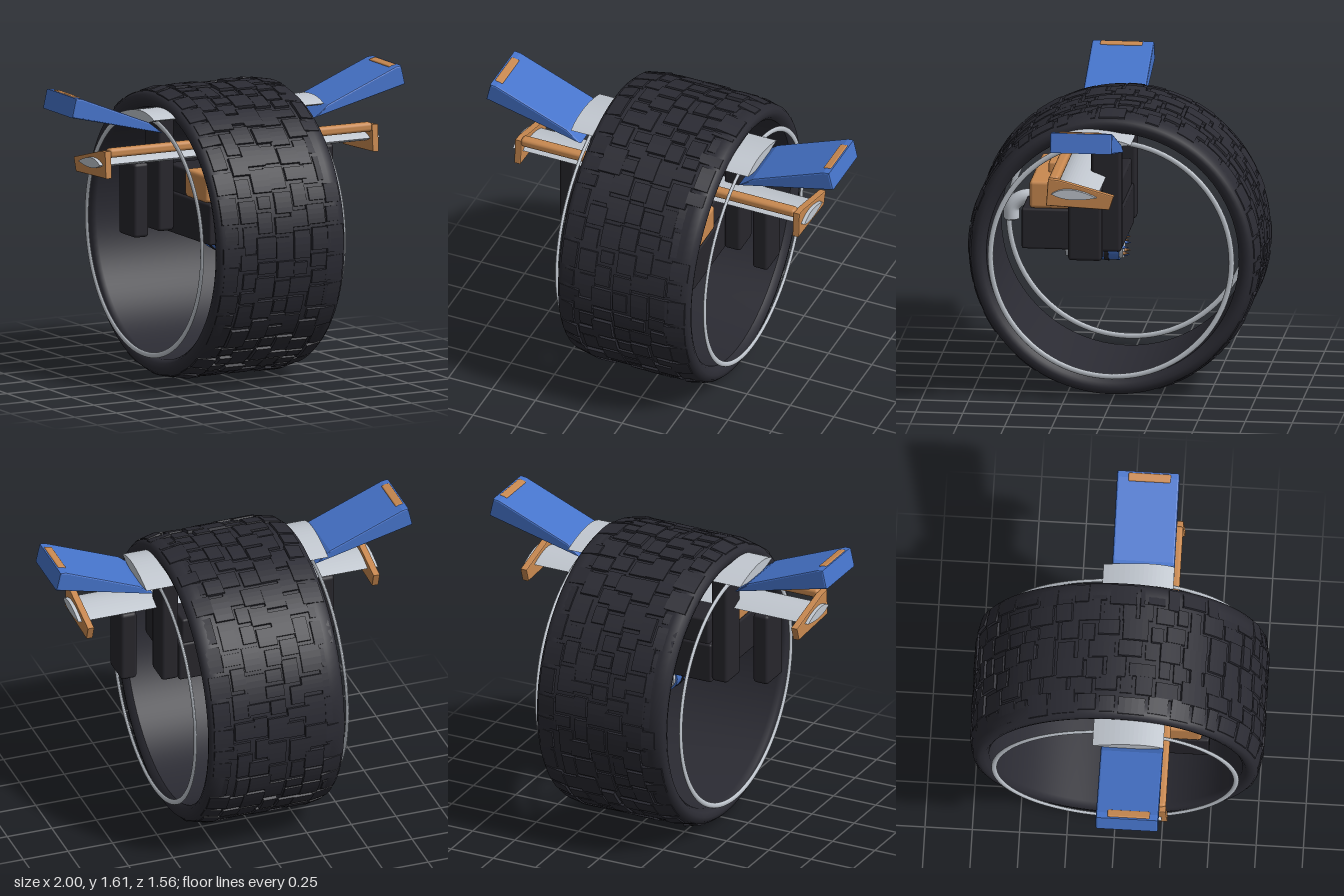
import * as THREE from 'three';
import { RoundedBoxGeometry } from 'three/addons/geometries/RoundedBoxGeometry.js';
import { mergeGeometries } from 'three/addons/utils/BufferGeometryUtils.js';

const material = (name, color) => {
  const m = new THREE.MeshStandardMaterial({ color });
  m.name = name;
  return m;
};

export function createModel() {
  const model = new THREE.Group();
  model.name = 'monowheelVehicle';
  const rubber = material('rubber', 0x2b2b33);
  const black = material('blackBody', 0x27262c);
  const blue = material('bluePaint', 0x4674cb);
  const orange = material('orangePaint', 0xc98950);
  const silver = material('silver', 0xc2c8d0);
  const AXLE = 0.78;

  const add = (name, geometry, mat, x = 0, y = 0, z = 0) => {
    const mesh = new THREE.Mesh(geometry, mat);
    mesh.name = name;
    mesh.position.set(x, y, z);
    model.add(mesh);
    return mesh;
  };
  // Rounded box given by its limits on each axis
  const block = (name, mat, [x0, x1], [y0, y1], [z0, z1], r = 0.012) =>
    add(name, new RoundedBoxGeometry(x1 - x0, y1 - y0, z1 - z0, 2, r), mat,
      (x0 + x1) / 2, (y0 + y1) / 2, (z0 + z1) / 2);
  // Side profile in (z, y), extruded across x
  const extrudeX = (shape, x0, x1, bevel = 0) => {
    const g = new THREE.ExtrudeGeometry(shape, {
      depth: x1 - x0 - 2 * bevel, curveSegments: 16, bevelEnabled: bevel > 0,
      bevelSize: bevel, bevelThickness: bevel, bevelOffset: -bevel, bevelSegments: 2,
    });
    return g.rotateY(-Math.PI / 2).translate(x1 - bevel, 0, 0);
  };
  const polygon = (pts) => new THREE.Shape(pts.map(([a, b]) => new THREE.Vector2(a, b)));

  // Hollow tyre carcass
  const profile = [
    [0.67, -0.35], [0.69, -0.372], [0.715, -0.38], [0.738, -0.375], [0.755, -0.355], [0.764, -0.31],
    [0.764, 0.31], [0.755, 0.355], [0.738, 0.375], [0.715, 0.38], [0.69, 0.372], [0.67, 0.35], [0.67, -0.35],
  ].map(([r, x]) => new THREE.Vector2(r, x));
  add('tyre', new THREE.LatheGeometry(profile, 96), rubber, 0, AXLE, 0).rotation.z = Math.PI / 2;

  // Irregular tread blocks bent around the tyre
  let seed = 7;
  const random = () => (seed = (seed * 16807) % 2147483647) / 2147483647;
  const treadBlock = (x, width, angle, arc, height) => {
    const g = new THREE.BoxGeometry(1, 1, 1, 1, 1, 4).toNonIndexed();
    const p = g.attributes.position;
    for (let i = 0; i < p.count; i++) {
      const top = p.getY(i) > 0;
      const inset = top ? 0.006 : 0;
      const px = x + p.getX(i) * (width - 2 * inset);
      const a = angle + p.getZ(i) * (arc - 2.6 * inset);
      const drop = 0.3 * Math.max(0, Math.abs(px) - 0.29);
      const r = (top ? 0.764 + height : 0.74) - drop;
      p.setXYZ(i, px, r * Math.cos(a), r * Math.sin(a));
    }
    g.computeVertexNormals();
    return g;
  };
  const treads = [];
  const COLUMNS = 7;
  for (let c = 0; c < COLUMNS; c++) {
    const pitch = 0.72 / COLUMNS;
    let a = random() * 0.2;
    const end = a + Math.PI * 2;
    while (a < end - 0.05) {
      const arc = Math.min(0.1 + random() * 0.12, end - a);
      const width = pitch * (0.8 + random() * 0.5);
      const limit = 0.365 - width / 2;
      const x = THREE.MathUtils.clamp((c - (COLUMNS - 1) / 2) * pitch + (random() - 0.5) * 0.03, -limit, limit);
      treads.push(treadBlock(x, width, a + arc / 2, arc - 0.012, 0.005 + random() * 0.011));
      a += arc;
    }
  }
  add('treadBlocks', mergeGeometries(treads), rubber, 0, AXLE, 0);

  // Lens-shaped crossbeams
  const lens = (z0, z1, y0, y1) => {
    const s = new THREE.Shape();
    const mid = (y0 + y1) / 2;
    const front = z1 - (z1 - z0) * 0.35;
    s.moveTo(z0, y0 + (y1 - y0) * 0.25);
    s.quadraticCurveTo(front, y0 - (mid - y0) * 0.7, z1, mid);
    s.quadraticCurveTo(front, y1 + (y1 - mid) * 1.1, z0, y0 + (y1 - y0) * 0.25);
    return s;
  };
  add('upperCrossbeam', extrudeX(lens(-0.115, 0.26, 1.41, 1.475), -0.51, 0.51), silver);
  add('lowerCrossbeam', extrudeX(lens(0.03, 0.27, 1.205, 1.262), -0.84, 0.84), silver);
  block('orangeCrossbar', orange, [-0.79, 0.79], [1.27, 1.32], [0.235, 0.29], 0.018);

  const endPlate = polygon([[0.3, 1.165], [0.29, 1.31], [0.235, 1.305], [-0.06, 1.225], [-0.035, 1.15]]);
  for (const s of [1, -1]) {
    const side = s > 0 ? 'left' : 'right';
    const span = (a, b) => (s > 0 ? [a, b] : [-b, -a]);

    // Flat guide ring beside the tyre
    const ring = add(side + 'GuideRing', new THREE.TorusGeometry(0.64, 0.015, 10, 96), silver, s * 0.426, AXLE, 0);
    ring.rotation.y = Math.PI / 2;
    ring.scale.z = 0.55;

    // Raised wing with tip strip
    const wingShape = polygon([[0.465, 1.375], [0.99, 1.507], [0.97, 1.595], [0.945, 1.592], [0.54, 1.428]]
      .map(([x, y]) => [s * x, y]));
    add(side + 'Wing', new THREE.ExtrudeGeometry(wingShape, {
      depth: 0.31, bevelSize: 0.008, bevelThickness: 0.01, bevelSegments: 2,
    }), blue, 0, 0, -0.06);
    block(side + 'WingStrip', orange, span(0.925, 0.97), [1.58, 1.604], [-0.01, 0.215], 0.008)
      .rotation.z = s * 0.2;

    // Crossbeam end plate and hanging pods
    const [p0, p1] = span(0.782, 0.82);
    add(side + 'EndPlate', extrudeX(endPlate, p0, p1, 0.006), orange);
    block(side + 'OuterPod', black, span(0.51, 0.6), [0.81, 1.21], [0.03, 0.21], 0.018);
    block(side + 'InnerPod', black, span(0.305, 0.4), [0.81, 1.42], [-0.05, 0.11], 0.018);
  }

  // Central body
  block('lowerBody', black, [-0.3, 0.3], [0.79, 1.01], [-0.04, 0.49]);
  block('upperBody', orange, [-0.3, 0.3], [1.01, 1.16], [0.21, 0.45], 0.02);
  block('rearBody', black, [-0.28, 0.28], [1.0, 1.15], [-0.03, 0.22]);
  block('controlPost', black, [-0.08, 0.08], [1.15, 1.215], [0.27, 0.33]);
  block('controlPanel', orange, [-0.1, 0.1], [1.15, 1.215], [0.325, 0.37]);

  // Curved front pipe
  const bend = new THREE.CatmullRomCurve3([[1.0, 0.44], [0.99, 0.52], [0.945, 0.572], [0.88, 0.578]]
    .map(([y, z]) => new THREE.Vector3(0, y, z)));
  add('frontPipe', new THREE.TubeGeometry(bend, 20, 0.042, 16), silver);
  add('frontPipeCap', new THREE.SphereGeometry(0.042, 16, 10), silver, 0, 0.885, 0.578).scale.y = 0.5;

  // Banded engine beneath the body: z from, z to, radius, colour
  const bands = [
    [0.27, 0.285, 0.066, silver], [0.238, 0.27, 0.076, orange], [0.225, 0.238, 0.068, silver],
    [0.21, 0.225, 0.078, black], [0.155, 0.21, 0.08, blue], [0.135, 0.155, 0.084, black],
    [0.08, 0.135, 0.08, blue], [0.055, 0.08, 0.084, black], [0, 0.055, 0.08, blue], [-0.02, 0, 0.07, silver],
  ];
  bands.forEach(([z0, z1, r, mat], i) =>
    add('engineBand' + (i + 1), new THREE.CylinderGeometry(r, r, z1 - z0, 28), mat, 0, 0.748, (z0 + z1) / 2)
      .rotation.x = Math.PI / 2);

  // Petals around the engine outlet
  for (let i = 0; i < 8; i++) {
    const a = (i / 8) * Math.PI * 2;
    const petal = add('outletPetal' + (i + 1), new THREE.ConeGeometry(0.018, 0.06, 8), i % 2 ? orange : blue,
      0.052 * Math.cos(a), 0.748 + 0.052 * Math.sin(a), -0.025);
    petal.rotation.x = -Math.PI / 2;
  }
  return model;
}
